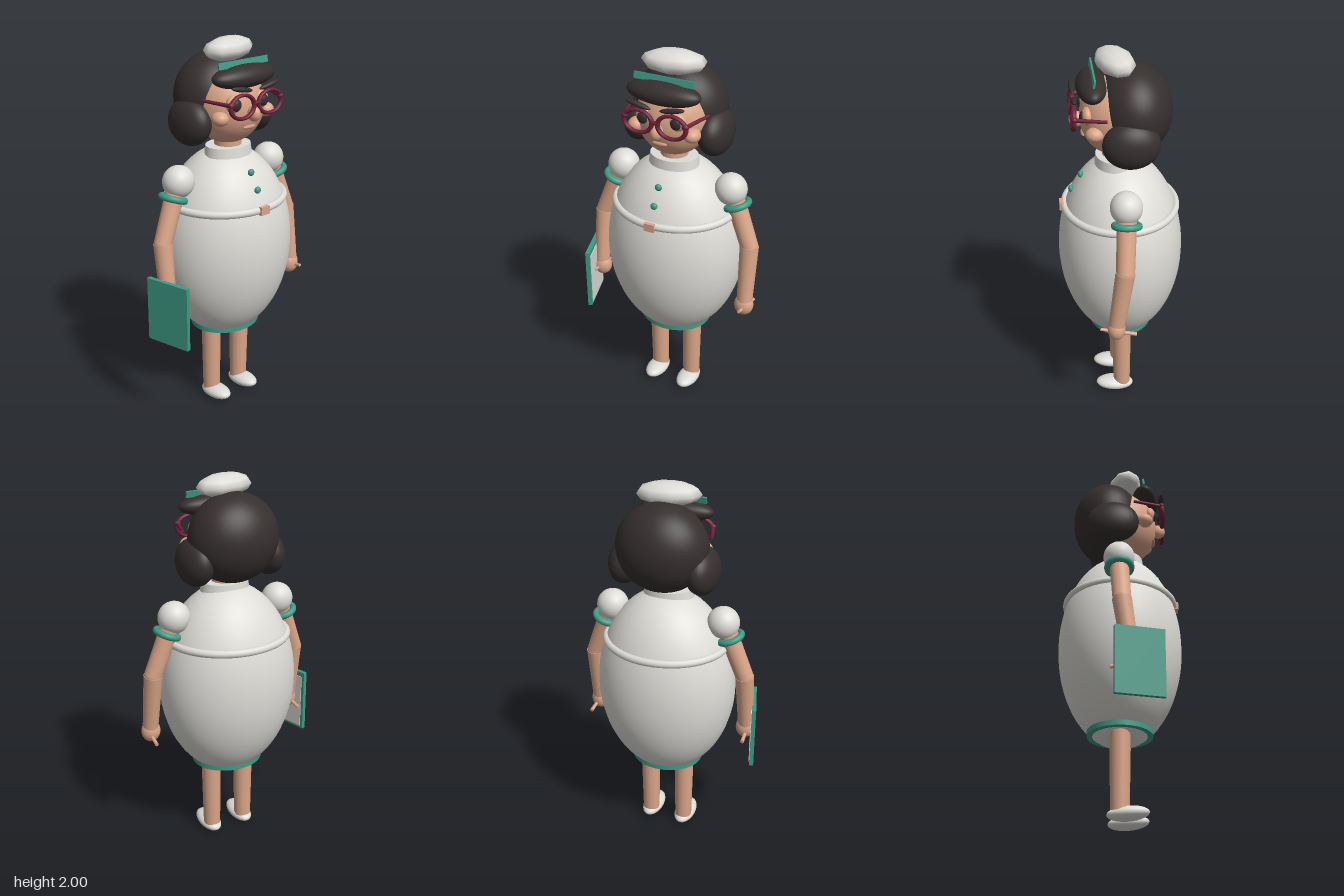
import * as THREE from 'three';

const mat = (name, color, side = THREE.FrontSide) => {
  const m = new THREE.MeshStandardMaterial({ color, side });
  m.name = name;
  return m;
};

export function createModel() {
  const white = mat('uniformWhite', 0xdddcd7);
  const skin = mat('skin', 0xdaa588);
  const hair = mat('hairBrown', 0x352f2e);
  const teal = mat('tealTrim', 0x3f9b86);
  const red = mat('frameRed', 0x6e2039);
  const lip = mat('lip', 0xcc9280);

  const root = new THREE.Group();
  root.name = 'figure';
  const figure = new THREE.Group();
  figure.name = 'person';
  figure.position.x = 0.008;
  root.add(figure);

  const add = (name, geo, material, pos = [0, 0, 0], rot = [0, 0, 0], scale = [1, 1, 1]) => {
    const m = new THREE.Mesh(geo, material);
    m.name = name;
    m.position.set(...pos);
    m.rotation.set(...rot);
    m.scale.set(...scale);
    figure.add(m);
    return m;
  };
  const ball = new THREE.SphereGeometry(1, 40, 28);
  const blob = (name, material, pos, radii, rot) => add(name, ball, material, pos, rot, radii);
  const up = new THREE.Vector3(0, 1, 0);
  // tapered round limb between two points
  const limb = (name, material, a, b, ra, rb) => {
    const A = new THREE.Vector3(...a), B = new THREE.Vector3(...b);
    const d = B.clone().sub(A);
    const m = add(name, new THREE.CylinderGeometry(rb, ra, d.length(), 28), material);
    m.position.copy(A).add(B).multiplyScalar(0.5);
    m.quaternion.setFromUnitVectors(up, d.normalize());
    return m;
  };
  // closed band with a rectangular section
  const band = (inner, outer, h) => new THREE.LatheGeometry(
    [[inner, -h / 2], [outer, -h / 2], [outer, -h / 2], [outer, h / 2], [outer, h / 2], [inner, h / 2]]
      .map(p => new THREE.Vector2(...p)), 48);

  // torso and dress details
  blob('dress', white, [0, 0.925, 0], [0.368, 0.525, 0.323]);
  add('belt', new THREE.TorusGeometry(0.317, 0.02, 14, 64), white, [0, 1.178, 0], [Math.PI / 2, 0, 0], [1, 0.905, 1]);
  add('beltBuckle', new THREE.BoxGeometry(0.055, 0.042, 0.02), skin, [0, 1.178, 0.302]);
  add('hem', band(0.16, 0.193, 0.03), teal, [0, 0.467, 0], [0, 0, 0], [1, 1, 0.875]);
  add('collar', new THREE.CylinderGeometry(0.125, 0.132, 0.05, 40), white, [0, 1.436, 0.023], [0, 0, 0], [1, 1, 0.8]);
  add('neck', new THREE.CylinderGeometry(0.07, 0.07, 0.16, 28), skin, [0, 1.49, 0.02]);
  blob('upperButton', teal, [0, 1.35, 0.2], [0.018, 0.018, 0.014]);
  blob('lowerButton', teal, [0, 1.27, 0.25], [0.018, 0.018, 0.014]);

  // limbs, mirrored
  for (const s of [-1, 1]) {
    const side = s > 0 ? 'left' : 'right';
    limb(side + 'Leg', skin, [s * 0.098, 0.05, 0], [s * 0.1, 0.54, 0.002], 0.046, 0.054);
    blob(side + 'Shoe', white, [s * 0.098, 0.041, 0.04], [0.057, 0.036, 0.104], [-0.08, 0, 0]);

    blob(side + 'Sleeve', white, [s * 0.302, 1.317, 0], [0.083, 0.083, 0.08]);
    const cuff = add(side + 'Cuff', new THREE.TorusGeometry(0.06, 0.017, 14, 36), teal, [s * 0.339, 1.238, 0.002]);
    cuff.quaternion.setFromUnitVectors(new THREE.Vector3(0, 0, 1), new THREE.Vector3(s * 0.34, -0.94, 0.05).normalize());
    limb(side + 'UpperArm', skin, [s * 0.32, 1.28, 0], [s * 0.42, 1.02, 0.016], 0.05, 0.046);
    blob(side + 'Elbow', skin, [s * 0.42, 1.02, 0.016], [0.046, 0.046, 0.046]);
    limb(side + 'Forearm', skin, [s * 0.42, 1.02, 0.016], [s * 0.426, 0.71, 0.06], 0.049, 0.041);
    blob(side + 'Hand', skin, [s * 0.424, 0.685, 0.062], [0.051, 0.06, 0.046]);
    limb(side + 'Finger', skin, [s * 0.428, 0.69, 0.143], [s * 0.438, 0.652, -0.04], 0.008, 0.01);
  }

  // clipboard beside the right hand
  const board = new THREE.Group();
  board.name = 'clipboard';
  board.position.set(-0.457, 0.672, 0.1);
  board.rotation.y = 0.265;
  const plate = new THREE.Mesh(new THREE.BoxGeometry(0.022, 0.345, 0.248), teal);
  plate.name = 'clipboardBack';
  const paper = new THREE.Mesh(new THREE.BoxGeometry(0.004, 0.305, 0.215), white);
  paper.name = 'paper';
  paper.position.set(0.0125, -0.006, 0);
  board.add(plate, paper);
  figure.add(board);

  // head and hair
  blob('face', skin, [0, 1.67, 0.02], [0.188, 0.2, 0.18]);
  blob('backHair', hair, [0, 1.7, -0.065], [0.235, 0.225, 0.192]);
  blob('fringe', hair, [0, 1.827, 0.138], [0.192, 0.057, 0.075], [0.15, 0, 0]);
  blob('nose', skin, [0, 1.655, 0.213], [0.03, 0.04, 0.038]);
  blob('mouth', lip, [0, 1.582, 0.183], [0.04, 0.011, 0.012]);

  // cap and its front band
  add('cap', new THREE.SphereGeometry(1, 9, 6), white, [0, 1.943, 0.025], [0, 0.2, 0], [0.163, 0.058, 0.092]);
  add('capBand', new THREE.BoxGeometry(0.312, 0.033, 0.01), teal, [0, 1.889, 0.133], [-0.2, 0, 0]);

  // paired face parts and glasses
  const rim = new THREE.TorusGeometry(0.075, 0.012, 12, 44);
  for (const s of [-1, 1]) {
    const side = s > 0 ? 'left' : 'right';
    blob(side + 'HairPuff', hair, [s * 0.199, 1.597, -0.035], [0.084, 0.119, 0.14], [0, 0, s * 0.1]);
    blob(side + 'Cheek', skin, [s * 0.148, 1.636, 0.135], [0.042, 0.036, 0.045]);
    blob(side + 'Eyelid', skin, [s * 0.085, 1.705, 0.165], [0.046, 0.046, 0.03]);
    blob(side + 'Pupil', hair, [s * 0.087, 1.703, 0.188], [0.027, 0.03, 0.016]);
    blob(side + 'Brow', hair, [s * 0.088, 1.788, 0.228], [0.066, 0.013, 0.016], [0, 0, s * 0.2]);
    add(side + 'Rim', rim, red, [s * 0.088, 1.705, 0.232], [-0.05, 0, 0], [0.98, 0.75, 1]);
    blob(side + 'Hinge', red, [s * 0.158, 1.722, 0.23], [0.018, 0.015, 0.016]);
    limb(side + 'Temple', red, [s * 0.158, 1.72, 0.23], [s * 0.205, 1.725, 0.08], 0.01, 0.008);
  }
  limb('bridge', red, [-0.022, 1.712, 0.234], [0.022, 1.712, 0.234], 0.01, 0.01);

  return root;
}
